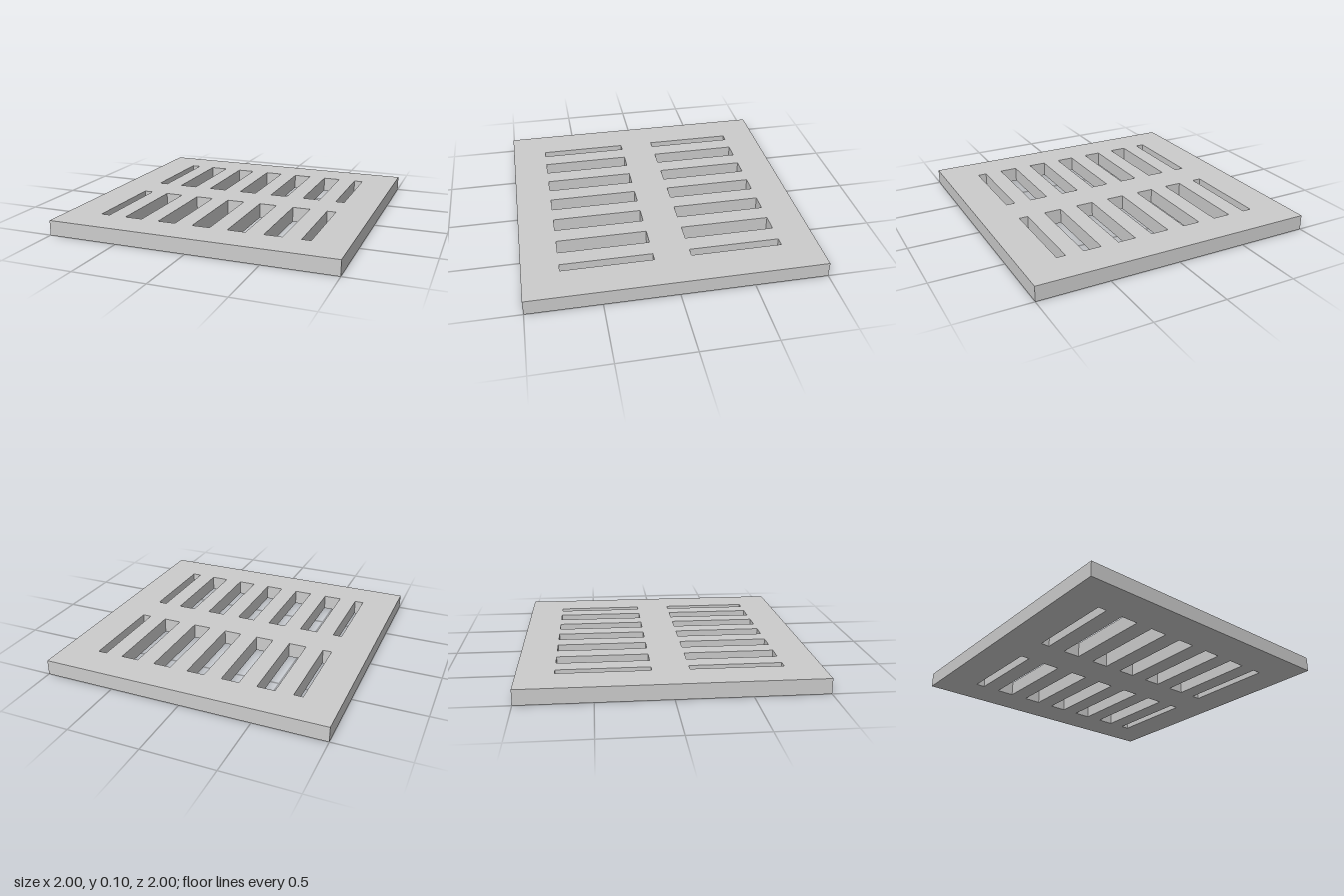
import * as THREE from 'three';

const SIZE = 2, THICKNESS = 0.105;
const SLOT_NEAR = 0.125, SLOT_FAR = 0.75;

// Adds an axis-aligned rectangle to a shape or path
function rectangle(path, x0, y0, x1, y1) {
  path.moveTo(x0, y0);
  path.lineTo(x1, y0);
  path.lineTo(x1, y1);
  path.lineTo(x0, y1);
  path.closePath();
  return path;
}

export function createModel() {
  const group = new THREE.Group();
  group.name = 'drainGrate';

  // Square plate outline
  const h = SIZE / 2;
  const outline = rectangle(new THREE.Shape(), -h, -h, h, h);

  // Two rows of seven slots; the outermost slots are half as wide
  for (let i = -3; i <= 3; i++) {
    const x0 = Math.max(i * 0.25 - 0.0625, -SLOT_FAR);
    const x1 = Math.min(i * 0.25 + 0.0625, SLOT_FAR);
    outline.holes.push(
      rectangle(new THREE.Path(), x0, SLOT_NEAR, x1, SLOT_FAR),
      rectangle(new THREE.Path(), x0, -SLOT_FAR, x1, -SLOT_NEAR)
    );
  }

  // Extrude upward from the ground
  const geometry = new THREE.ExtrudeGeometry(outline, { depth: THICKNESS, bevelEnabled: false });
  geometry.rotateX(-Math.PI / 2);

  const material = new THREE.MeshStandardMaterial({ color: 0xcccccc, flatShading: true });
  const plate = new THREE.Mesh(geometry, material);
  plate.name = 'slottedPlate';
  group.add(plate);
  return group;
}
